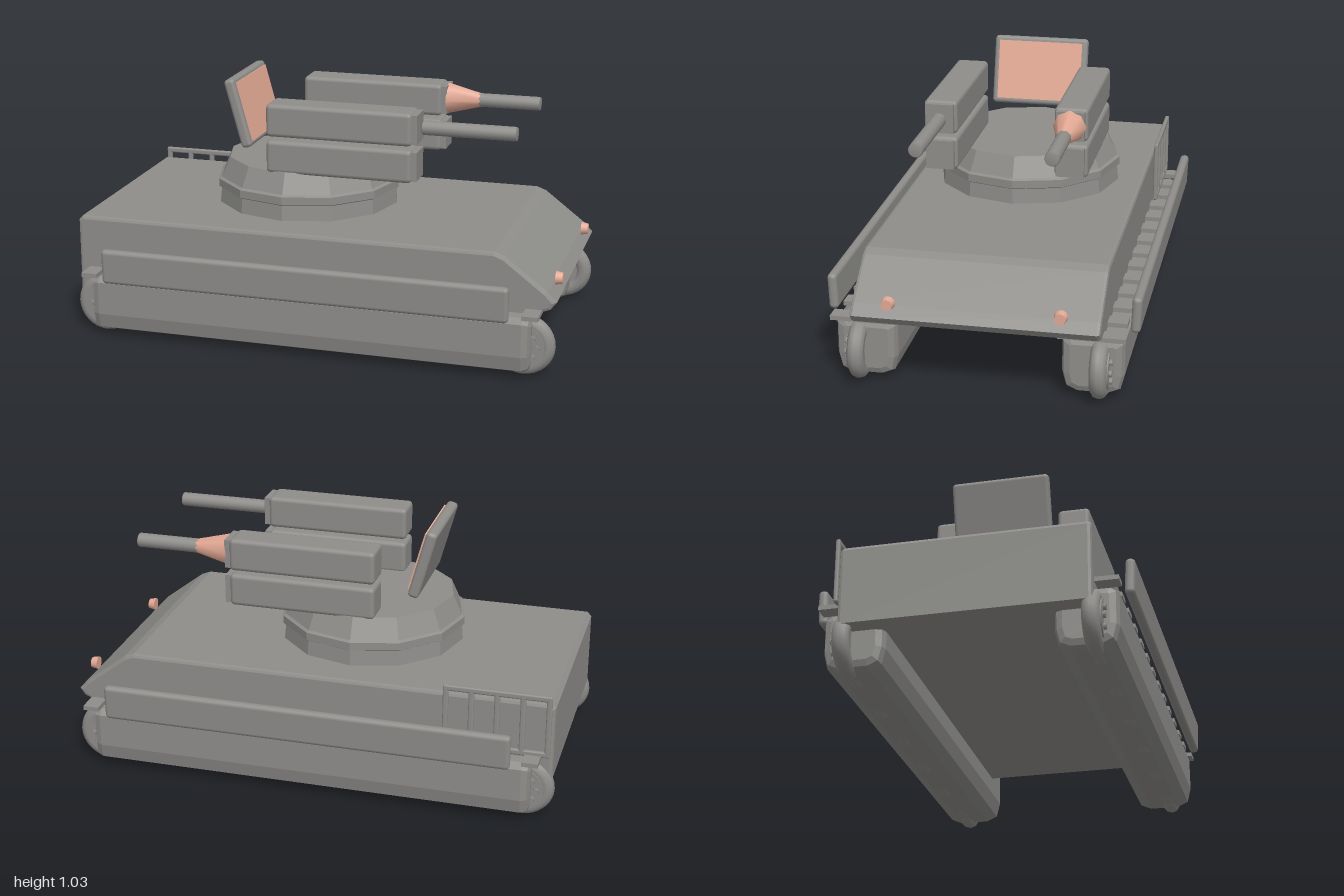
import * as THREE from 'three';
import { RoundedBoxGeometry } from 'three/addons/geometries/RoundedBoxGeometry.js';

export function createModel() {
  const root = new THREE.Group();
  root.name = 'armouredCarrier';
  const grey = new THREE.MeshStandardMaterial({ color: 0x8e8d8a });
  grey.name = 'hullGrey';
  const salmon = new THREE.MeshStandardMaterial({ color: 0xe2a894 });
  salmon.name = 'lampSalmon';

  const add = (name, geometry, material, x = 0, y = 0, z = 0, parent = root) => {
    const mesh = new THREE.Mesh(geometry, material);
    mesh.name = name;
    mesh.position.set(x, y, z);
    parent.add(mesh);
    return mesh;
  };
  const rounded = (w, h, d, r = 0.018) => new RoundedBoxGeometry(w, h, d, 2, r);
  const rodX = (r1, r2, length, sides) =>
    new THREE.CylinderGeometry(r1, r2, length, sides).rotateZ(-Math.PI / 2);
  const latheX = (points, sides) => new THREE.LatheGeometry(
    points.map(([r, x]) => new THREE.Vector2(r, x)), sides).rotateZ(-Math.PI / 2);
  // Extrudes an outline with chamfered ends, keeping its outer size
  const bevelled = (points, length, bevel) => {
    const shape = new THREE.Shape(points.map(([x, y]) => new THREE.Vector2(x, y)));
    return new THREE.ExtrudeGeometry(shape, {
      depth: length - 2 * bevel, bevelThickness: bevel, bevelSize: bevel,
      bevelOffset: -bevel, bevelSegments: 2,
    }).translate(0, 0, -length / 2 + bevel);
  };

  // Hull with a wedge nose, cut back above and below
  add('hull', bevelled([
    [-0.988, 0.17], [0.73, 0.17], [0.975, 0.276], [0.997, 0.306], [0.96, 0.345],
    [0.79, 0.475], [0.75, 0.49], [-0.97, 0.49], [-0.988, 0.472],
  ], 0.96, 0.014), grey);

  // Running gear on both sides
  const section = [[-0.06, 0.02], [0.06, 0.02], [0.105, 0.04], [0.12, 0.1], [0.12, 0.235],
    [0.09, 0.255], [-0.09, 0.255], [-0.12, 0.235], [-0.12, 0.1], [-0.105, 0.04]];
  const trackGeo = bevelled(section, 1.82, 0.033).rotateY(Math.PI / 2);
  const tyreGeo = new THREE.TorusGeometry(0.09, 0.034, 10, 32);
  const hubGeo = new THREE.CylinderGeometry(0.085, 0.085, 0.06, 24).rotateX(Math.PI / 2);
  const boltGeo = new THREE.CylinderGeometry(0.013, 0.013, 0.03, 6).rotateX(Math.PI / 2);
  const skirtGeo = rounded(1.67, 0.145, 0.038, 0.017);
  const lampGeo = rodX(0.022, 0.027, 0.028, 16);
  const barrelGeo = latheX([[0, -0.19], [0.026, -0.19], [0.029, -0.185],
    [0.029, 0.185], [0.025, 0.19], [0, 0.19]], 16);

  for (const s of [1, -1]) {
    const side = s > 0 ? 'left' : 'right';
    add(side + 'TrackPod', trackGeo, grey, 0, 0, s * 0.44);

    for (const x of [-0.875, -0.77, -0.462, -0.154, 0.154, 0.462, 0.77, 0.875]) {
      const end = Math.abs(x) > 0.8;
      const wheel = new THREE.Group();
      wheel.name = side + 'Wheel';
      wheel.position.set(x, end ? 0.125 : 0.134, s * 0.468);
      root.add(wheel);
      add('tyre', tyreGeo, grey, 0, 0, 0, wheel);
      add('hub', hubGeo, grey, 0, 0, s * 0.008, wheel);
      if (!end) continue;
      for (let i = 0; i < 8; i++) {
        const a = (i / 8) * Math.PI * 2;
        add('bolt', boltGeo, grey, Math.cos(a) * 0.055, Math.sin(a) * 0.055, s * 0.035, wheel);
      }
    }

    // Fender slats, with the end ones reaching further out
    for (let i = 0; i < 14; i++) {
      const end = i === 0 || i === 13;
      add(side + 'FenderSlat', new THREE.BoxGeometry(0.065, 0.018, end ? 0.26 : 0.1),
        grey, -0.91 + i * 0.14, 0.266, s * (end ? 0.44 : 0.507));
    }

    const skirt = add(side + 'SkirtPanel', skirtGeo, grey, -0.003, 0.322, s * 0.592);
    skirt.rotation.x = s * 0.04;

    add(side + 'Headlamp', lampGeo, salmon, 0.983, 0.36, s * 0.33);

    // Stacked weapon boxes with end plates
    for (const [name, y] of [['Upper', 0.908], ['Lower', 0.758]]) {
      add(side + name + 'GunBox', rounded(0.602, 0.135, 0.134), grey, 0.077, y, s * 0.262);
      add(side + name + 'GunEndPlate', new THREE.BoxGeometry(0.03, 0.118, 0.112),
        grey, 0.384, y, s * 0.262);
    }
    add(side + 'Barrel', barrelGeo, grey, 0.598, 0.908, s * 0.26);
  }
  add('muzzleCone', rodX(0.028, 0.066, 0.145, 8), salmon, 0.468, 0.908, -0.26);

  // Twelve-sided stepped turret
  const turret = new THREE.LatheGeometry([
    [0, 0.51], [0.381, 0.51], [0.375, 0.572], [0.386, 0.578], [0.386, 0.61],
    [0.374, 0.617], [0.337, 0.7], [0, 0.7],
  ].map(([r, y]) => new THREE.Vector2(r, y)), 12).toNonIndexed();
  turret.computeVertexNormals();
  add('turret', turret, grey, -0.14, 0, 0);

  // Tilted screen behind the guns
  const screen = new THREE.Group();
  screen.name = 'screen';
  screen.position.set(-0.387, 0.893, 0);
  screen.rotation.z = 0.27;
  root.add(screen);
  add('screenFrame', rounded(0.046, 0.292, 0.406, 0.016), grey, 0, 0, 0, screen);
  add('screenFace', new THREE.BoxGeometry(0.009, 0.25, 0.36), salmon, 0.026, 0, 0, screen);

  // Rack standing on the right rear side
  const railGeo = rounded(0.43, 0.024, 0.018, 0.007);
  const postGeo = rounded(0.022, 0.26, 0.018, 0.007);
  for (const y of [0.28, 0.52]) add('rackRail', railGeo, grey, -0.762, y, -0.493);
  for (let i = 0; i < 5; i++) {
    add('rackPost', postGeo, grey, -0.966 + i * 0.102, 0.4, -0.493);
  }

  return root;
}
